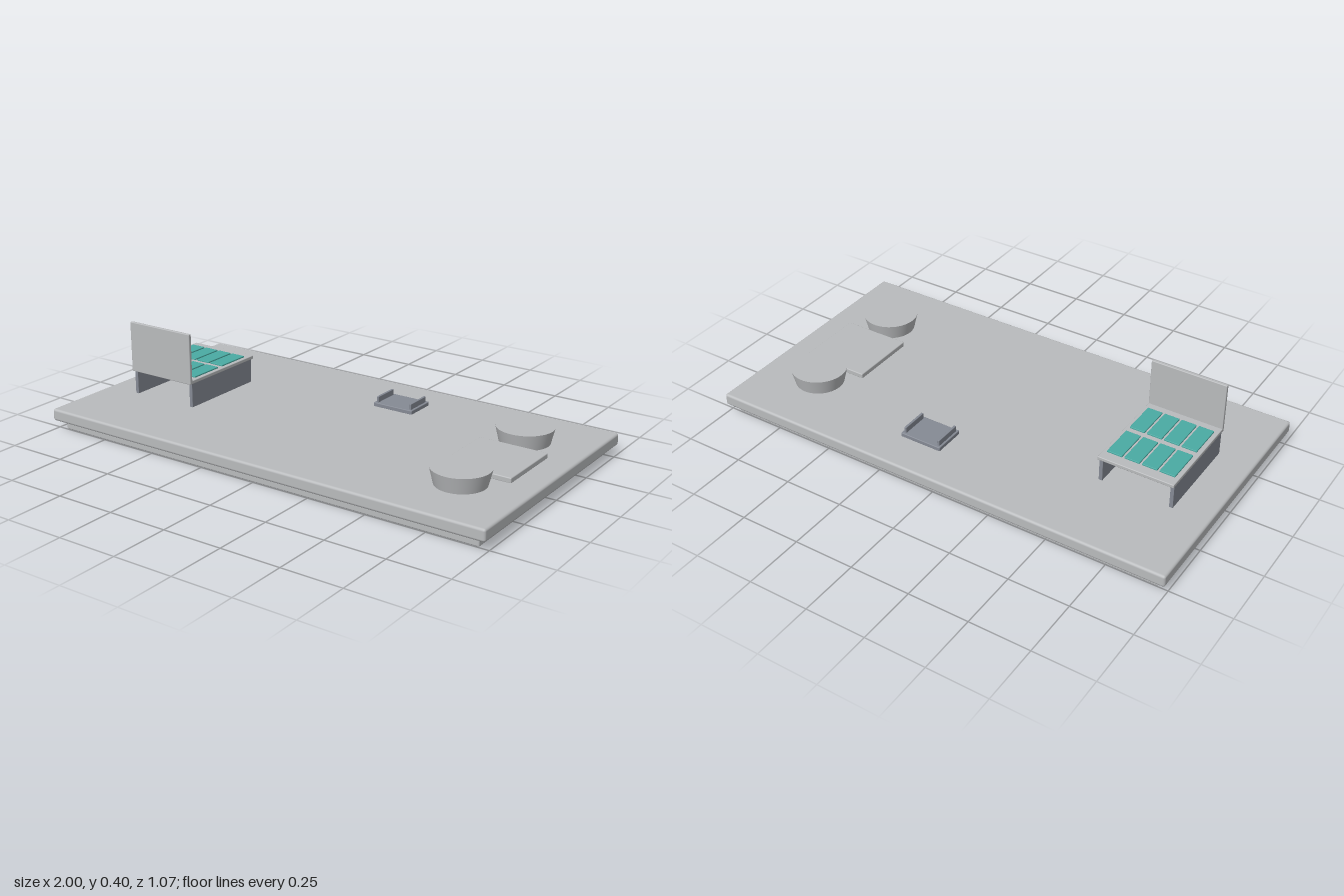
import * as THREE from 'three';
import { RoundedBoxGeometry } from 'three/addons/geometries/RoundedBoxGeometry.js';

const material = (name, color) => {
  const m = new THREE.MeshStandardMaterial({ color });
  m.name = name;
  return m;
};

export function createModel() {
  const model = new THREE.Group();
  model.name = 'equipmentDeck';
  const lightGrey = material('light grey', 0xb9bbbd);
  const slate = material('slate grey', 0x858a94);
  const teal = material('teal', 0x4aaba3);

  // Box given by its low and high corners, with softly rounded edges
  const box = (parent, name, mat, [x0, y0, z0], [x1, y1, z1], r = 0.003) => {
    const geo = new RoundedBoxGeometry(x1 - x0, y1 - y0, z1 - z0, 2, r);
    const mesh = new THREE.Mesh(geo, mat);
    mesh.position.set((x0 + x1) / 2, (y0 + y1) / 2, (z0 + z1) / 2);
    mesh.name = name;
    parent.add(mesh);
  };
  const group = (name) => {
    const g = new THREE.Group();
    g.name = name;
    model.add(g);
    return g;
  };

  // Stepped platform
  const platform = group('platform');
  box(platform, 'plinth', lightGrey, [-0.96, 0, -0.5], [0.96, 0.045, 0.5], 0.006);
  box(platform, 'deck', lightGrey, [-1, 0.04, -0.535], [1, 0.09, 0.535], 0.01);

  // Bench with side panels, upright back and two rows of pads
  const bench = group('bench');
  box(bench, 'seat', lightGrey, [-0.855, 0.19, -0.205], [-0.54, 0.205, 0.2]);
  box(bench, 'backrest', lightGrey, [-0.855, 0.19, 0.195], [-0.54, 0.403, 0.209]);
  for (const x of [-0.852, -0.558]) {
    box(bench, 'sidePanel', slate, [x, 0.088, -0.192], [x + 0.015, 0.192, 0.196], 0.001);
  }
  for (const z of [-0.162, 0.013]) {
    for (let i = 0; i < 4; i++) {
      const x = -0.837 + i * 0.0727;
      box(bench, 'pad', teal, [x, 0.203, z], [x + 0.063, 0.211, z + 0.148], 0.002);
    }
  }

  // Small tray with a raised rail at each end
  const tray = group('tray');
  box(tray, 'trayBase', slate, [0.052, 0.088, -0.375], [0.234, 0.106, -0.24]);
  for (const x of [0.06, 0.215]) {
    box(tray, 'trayRail', slate, [x, 0.1, -0.365], [x + 0.01, 0.13, -0.25], 0.002);
  }

  // Flat pad between two tapered drums
  const station = group('drumStation');
  box(station, 'floorPad', lightGrey, [0.6, 0.088, -0.145], [0.888, 0.11, 0.145], 0.004);
  for (const z of [-0.245, 0.245]) {
    const drum = new THREE.Mesh(new THREE.CylinderGeometry(0.115, 0.099, 0.067, 48), lightGrey);
    drum.position.set(0.74, 0.1215, z);
    drum.name = 'drum';
    station.add(drum);
  }
  return model;
}
